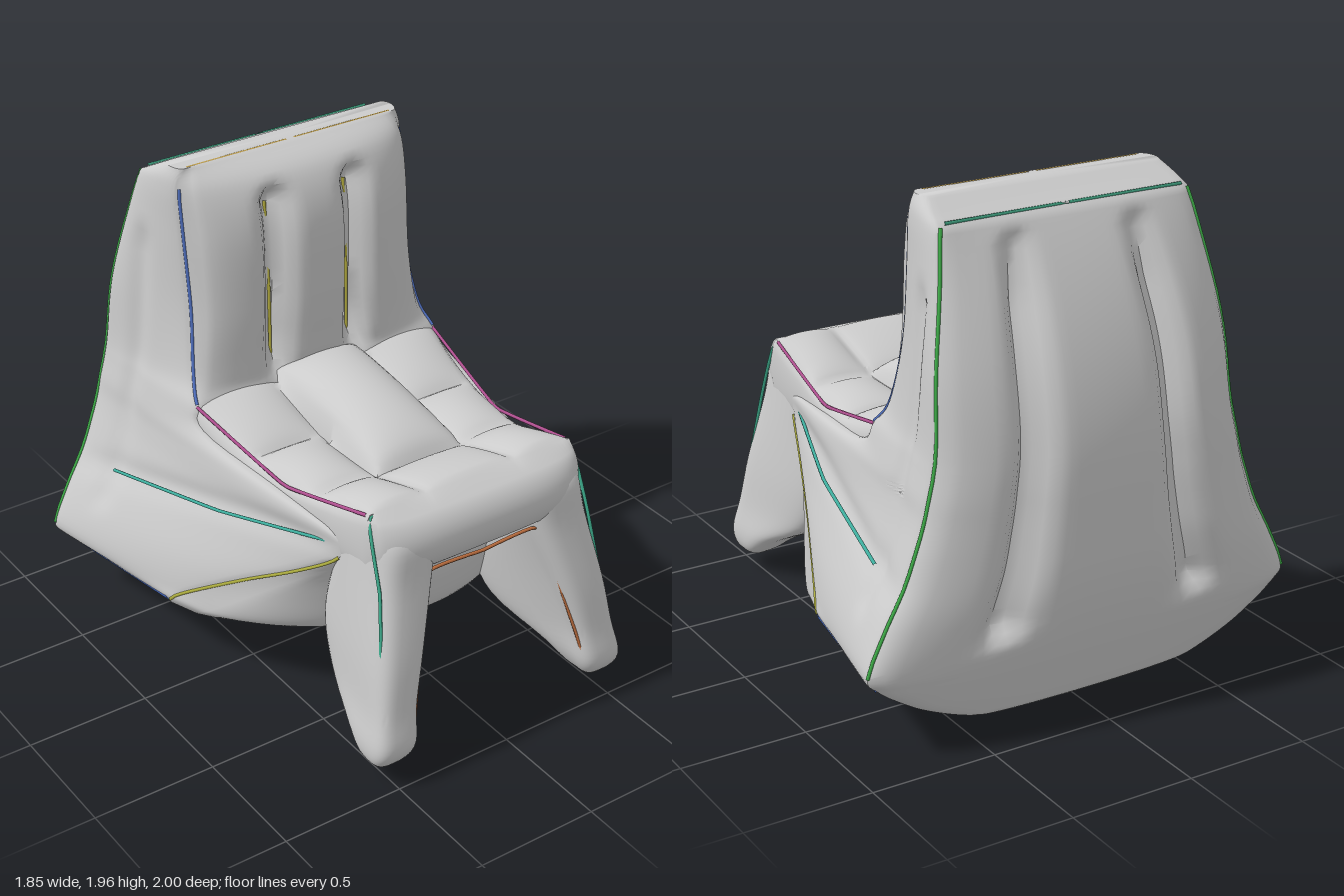
import * as THREE from 'three';
import { mergeVertices, toCreasedNormals } from 'three/addons/utils/BufferGeometryUtils.js';

const grey = new THREE.MeshStandardMaterial({ color: 0xcccccc });
const { lerp, smoothstep } = THREE.MathUtils;
const bell = (d, w) => Math.exp(-((d / w) ** 2));
const dome = (u, p) => Math.pow(Math.max(0, 1 - u * u), p);

// Skin over a stack of closed rings (bottom to top), capped at both ends
function loft(rings, crease) {
  const n = rings[0].length, pos = rings.flat(2), idx = [];
  for (let i = 0; i < rings.length - 1; i++) {
    for (let j = 0; j < n; j++) {
      const a = i * n + j, b = i * n + (j + 1) % n;
      idx.push(a, b, b + n, a, b + n, a + n);
    }
  }
  [rings[0], rings[rings.length - 1]].forEach((r, top) => {
    const o = top ? (rings.length - 1) * n : 0, centre = pos.length / 3;
    for (let q = 0; q < 3; q++) pos.push(r.reduce((s, p) => s + p[q], 0) / n);
    for (let j = 0; j < n; j++) {
      const a = o + j, b = o + (j + 1) % n;
      idx.push(centre, top ? a : b, top ? b : a);
    }
  });
  const g = new THREE.BufferGeometry();
  g.setAttribute('position', new THREE.Float32BufferAttribute(pos, 3));
  g.setIndex(idx);
  return toCreasedNormals(g, crease);
}

// Insert smooth in-between rows in a table of section values
function refine(rows, steps) {
  const out = [], last = rows.length - 1;
  for (let i = 0; i < last; i++) {
    const before = rows[Math.max(0, i - 1)], a = rows[i], b = rows[i + 1], after = rows[Math.min(last, i + 2)];
    for (let s = 0; s < steps; s++) {
      const t = s / steps, h = t * t * (3 - 2 * t), ta = t * (1 - t) ** 2, tb = t * t * (t - 1);
      out.push(a.map((v, q) => lerp(v, b[q], h) + ta * (b[q] - before[q]) / 2 + tb * (after[q] - v) / 2));
    }
  }
  out.push(rows[last]);
  return out;
}

// Belly and backrest: y, front half width, front z, front bulge, back half width
const BODY = refine([
  [0, .05, -.58, 0, .05], [.03, .28, -.42, .1, .28], [.08, .5, -.32, .2, .5],
  [.15, .64, -.26, .3, .68], [.22, .73, -.2, .4, .8], [.28, .77, -.17, .53, .88],
  [.34, .74, -.1, .61, .92], [.5, .63, .15, .42, .85], [.65, .53, .4, .18, .77],
  [.78, .47, .57, .02, .72], [.87, .47, .56, .02, .69], [.95, .57, -.15, 0, .67],
  [1.05, .56, -.26, .02, .645], [1.15, .53, -.33, .09, .63], [1.4, .5, -.38, .16, .61],
  [1.7, .5, -.415, .19, .555], [1.88, .5, -.43, .13, .52], [1.955, .47, -.43, 0, .48],
], 6);
// The back leans forward towards the top and tucks in at the bottom
const backZ = y => -.83 + .16 * Math.max(0, (y - .9) / .98) ** 2
  + 1.5 * Math.max(0, y - 1.88) + .18 * Math.max(0, 1 - y / .08) ** 2;
const backBulge = y => .17 * Math.sin(Math.PI / 2 * Math.min(1, Math.max(0, y) / .7))
  * Math.max(0, 1 - Math.max(0, (y - 1) / .92) ** 2);

function bodyRing([y, wf, zf, bf, wb]) {
  const N = 36, zb = backZ(y), bb = backBulge(y), front = [], right = [], back = [], left = [];
  const between = (a, b) => smoothstep(y, a, a + .1) * (1 - smoothstep(y, b - .1, b));
  const frontGroove = Math.min(Math.max(0, bf), .11 * between(1.02, 1.88));
  const backGroove = Math.min(bb, .1 * between(.36, 1.85));
  const sideGroove = .022 * between(.45, 1.7), sideBulge = .03 * smoothstep(y, .2, .5);
  const side = (s, t) => {
    const z = lerp(zf, zb, t);
    const seam = .018 * bell(y - .65 - .155 * (z + .6), .05) + sideGroove * bell(z + .62, .05);
    return [s * (lerp(wf, wb, t) + (sideBulge - seam) * dome(2 * t - 1, .5)), y, z];
  };
  for (let i = 0; i < N; i++) {
    const u = 2 * i / N - 1;
    front.push([wf * u, y, zf + bf * dome(u, y > 1 ? .4 : .6) - frontGroove * bell(Math.abs(wf * u) - .18, .05)]);
    right.push(side(1, i / N));
    back.push([-wb * u, y, zb - bb * dome(u, .55) + backGroove * bell(Math.abs(u) - .48, .09)]);
    left.push(side(-1, 1 - i / N));
  }
  return [...front, ...right, ...back, ...left];
}

// Quilted seat top: sagging sides, a high middle cushion and smaller side pillows
const puff = t => (t <= 0 || t >= 1 ? 0 : Math.sqrt(Math.sin(Math.PI * t)));
const pillows = (z, cuts) => cuts.slice(1).reduce((h, c, i) => h + puff((z - cuts[i]) / (c - cuts[i])), 0);
function seatTop(x, z, w) {
  const ax = Math.abs(x), edge = .93 + .45 * (z - .22) ** 2;
  if (ax < .2) return edge + (z < .42 ? .18 : .05) * pillows(z, [-.3, .42, .74]) * dome(ax / .2, .35);
  return edge + .055 * pillows(z, [-.3, .05, .4, .74]) * puff((ax - .2) / (w - .2));
}

function seatGeometry() {
  let g = new THREE.BoxGeometry(2, 2, 2, 56, 12, 56);
  g.deleteAttribute('uv');
  g.deleteAttribute('normal');
  g = mergeVertices(g);
  const p = g.attributes.position;
  for (let i = 0; i < p.count; i++) {
    const u = p.getX(i), v = p.getY(i), w = p.getZ(i);
    const z = lerp(-.36, .74, (w + 1) / 2);
    const half = .455 + .14 * Math.max(0, .5 - z);
    const y = lerp(.77, seatTop(u * half, z, half), (v + 1) / 2);
    p.setXYZ(i, u * (half + .02 * dome(v, .5)), y, z + .14 * dome(v, .5) * dome(u * u, .4) * Math.max(0, w) ** 3);
  }
  return toCreasedNormals(g, .9);
}

// Legs: y, centre x, centre z, half width, half depth, web reaching back into the belly
const LEG = refine([
  [.065, .495, .89, .03, .03, 0], [.1, .495, .895, .075, .07, .02], [.17, .485, .895, .095, .1, .08],
  [.3, .465, .87, .09, .1, .26], [.5, .425, .805, .105, .135, .24], [.77, .36, .715, .125, .165, .06],
  [.94, .33, .69, .13, .165, 0], [1, .33, .68, .12, .1, 0],
], 5);
function legGeometry(s) {
  const soft = c => Math.sign(c) * Math.abs(c) ** .6;
  return loft(LEG.map(([y, cx, cz, rx, rz, web]) => Array.from({ length: 40 }, (_, j) => {
    const a = j / 40 * Math.PI * 2, x = soft(Math.sin(a)), z = soft(Math.cos(a)), rear = Math.max(0, -z);
    const inward = (s * x < 0 ? .55 : .15) * web * rear;
    return [s * (cx - inward) + rx * x, y, cz + rz * z - web * rear];
  })), 1);
}

// Thin welded seam along a path on one side
function seam(color, pts, s) {
  const path = pts.map(([x, y, z]) => new THREE.Vector3(s * x, y, z));
  const curve = new THREE.CatmullRomCurve3(path, false, 'catmullrom', .1);
  const m = new THREE.Mesh(new THREE.TubeGeometry(curve, 24, .007, 6), new THREE.MeshStandardMaterial({ color }));
  m.name = 'seam';
  return m;
}

function buildSeams() {
  const group = new THREE.Group();
  group.name = 'seams';
  const both = (color, pts) => group.add(seam(color, pts, 1), seam(color, pts, -1));
  const rows = (from, to) => BODY.filter(([y]) => y >= from && y <= to);
  const frontCorner = (from, to) => rows(from, to).map(([y, wf, zf]) => [wf, y, zf]);
  // Body corners
  both(0x3fae49, rows(.34, 1.88).map(([y, , , , wb]) => [wb, y, backZ(y)]));
  both(0x5070c0, frontCorner(1.05, 1.88));
  both(0xb0b040, frontCorner(.28, .78));
  both(0x4060b0, [[.77, .28, -.17], [.88, .28, -.83]]);
  // Side and backrest grooves
  both(0x40b0a0, [[.48, .82, .5], [.64, .74, 0], [.755, .65, -.6]]);
  both(0xb8b040, [[.18, 1.1, -.33], [.18, 1.4, -.33], [.18, 1.78, -.35]]);
  // Seat edge, legs and arch
  both(0xb05090, [[.455, 1.04, .72], [.495, .93, .25], [.56, 1.04, -.26]]);
  both(0x40b090, [[0, 1.04, .74], [.455, 1.04, .74], [.48, .77, .84], [.55, .17, .96]]);
  both(0xc07040, [[0, .77, .82], [.26, .77, .82], [.41, .17, .96]]);
  // Backrest top edges
  both(0x40a080, [[0, 1.89, -.66], [.5, 1.89, -.66]]);
  both(0xc0a050, [[0, 1.95, -.44], [.46, 1.95, -.44]]);
  return group;
}

export function createModel() {
  const chair = new THREE.Group();
  chair.name = 'inflatableChair';
  const add = (name, geo) => {
    const m = new THREE.Mesh(geo, grey);
    m.name = name;
    chair.add(m);
  };
  add('bellyAndBackrest', loft(BODY.map(bodyRing), 1));
  add('seat', seatGeometry());
  add('leftLeg', legGeometry(1));
  add('rightLeg', legGeometry(-1));
  chair.add(buildSeams());
  return chair;
}
